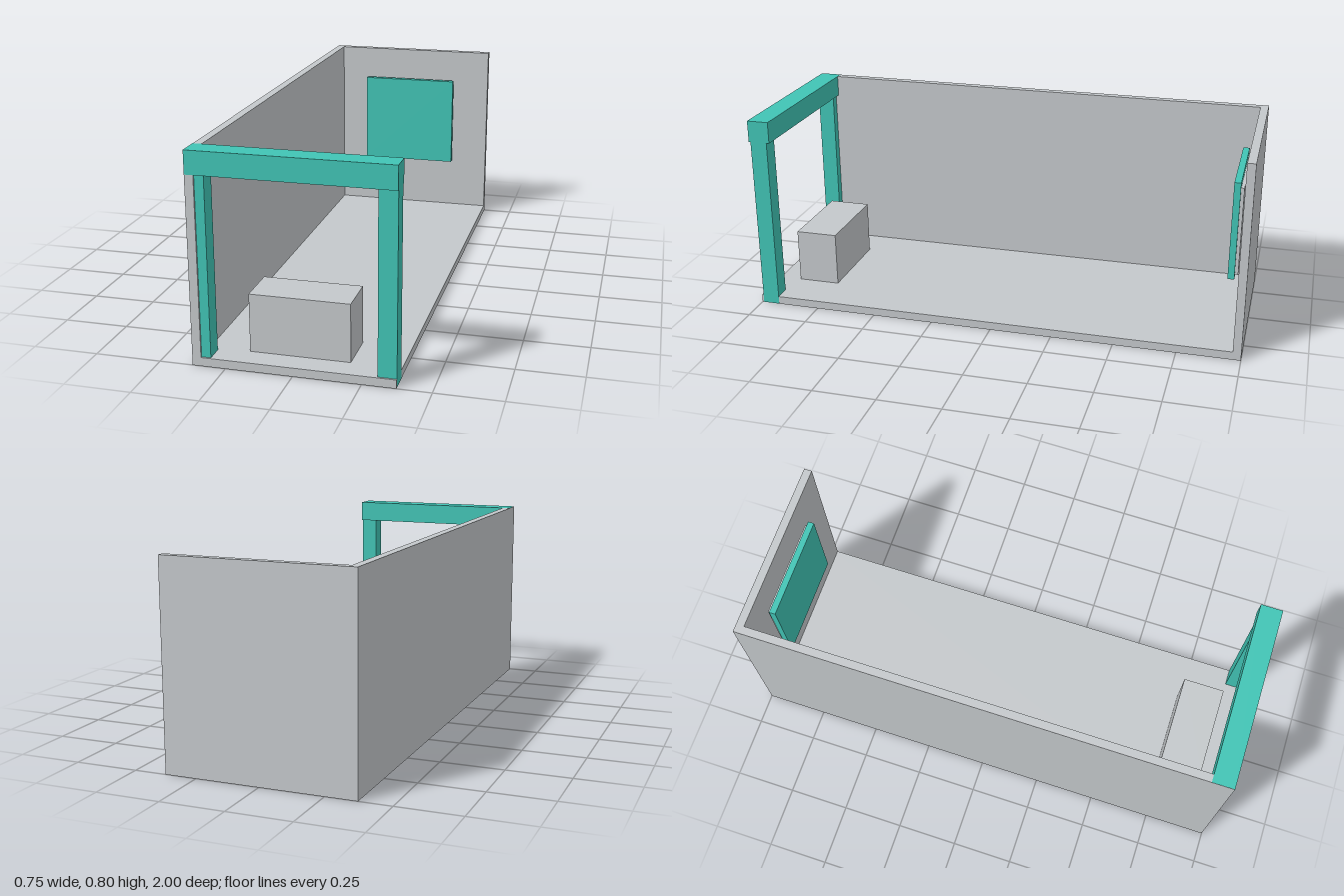
import * as THREE from 'three';

export function createModel() {
  const group = new THREE.Group();
  const grey = new THREE.MeshStandardMaterial({ name: 'light grey', color: 0xc4c8cb });
  const teal = new THREE.MeshStandardMaterial({ name: 'teal', color: 0x41c4b5 });

  // Box given by its extents along each axis
  function box(name, material, [x0, x1], [y0, y1], [z0, z1]) {
    const mesh = new THREE.Mesh(new THREE.BoxGeometry(x1 - x0, y1 - y0, z1 - z0), material);
    mesh.position.set((x0 + x1) / 2, (y0 + y1) / 2, (z0 + z1) / 2);
    mesh.name = name;
    group.add(mesh);
  }

  const W = 0.374, H = 0.8, T = 0.033;
  const e = 0.0006; // small offset that keeps flush faces from flickering

  // Open room: floor, one long wall and the back wall
  box('floor', grey, [-W, W], [0, T], [-1, 1]);
  box('sideWall', grey, [-W, -W + T], [T, H], [-1, 1]);
  box('backWall', grey, [-W + T, W], [T, H], [-1, -1 + T]);

  // Entrance frame: two posts, set back slightly, under a beam
  box('rightWallPost', teal, [-W + e, -0.306], [e, 0.713], [0.924, 0.993]);
  box('openSidePost', teal, [0.306, W + e], [e, 0.713], [0.924, 0.993]);
  box('topBeam', teal, [-W + e, W + e], [0.713, H + e], [0.912, 1 + e]);

  // Panel on the back wall with its mounting plate
  box('panelMount', grey, [-0.204, 0.204], [0.281, 0.64], [-0.956, -0.943]);
  box('panel', teal, [-0.213, 0.213], [0.263, 0.663], [-0.943, -0.917]);

  // Counter block behind the entrance
  box('counter', grey, [-0.188, 0.188], [T, 0.256], [0.734, 0.907]);

  return group;
}
